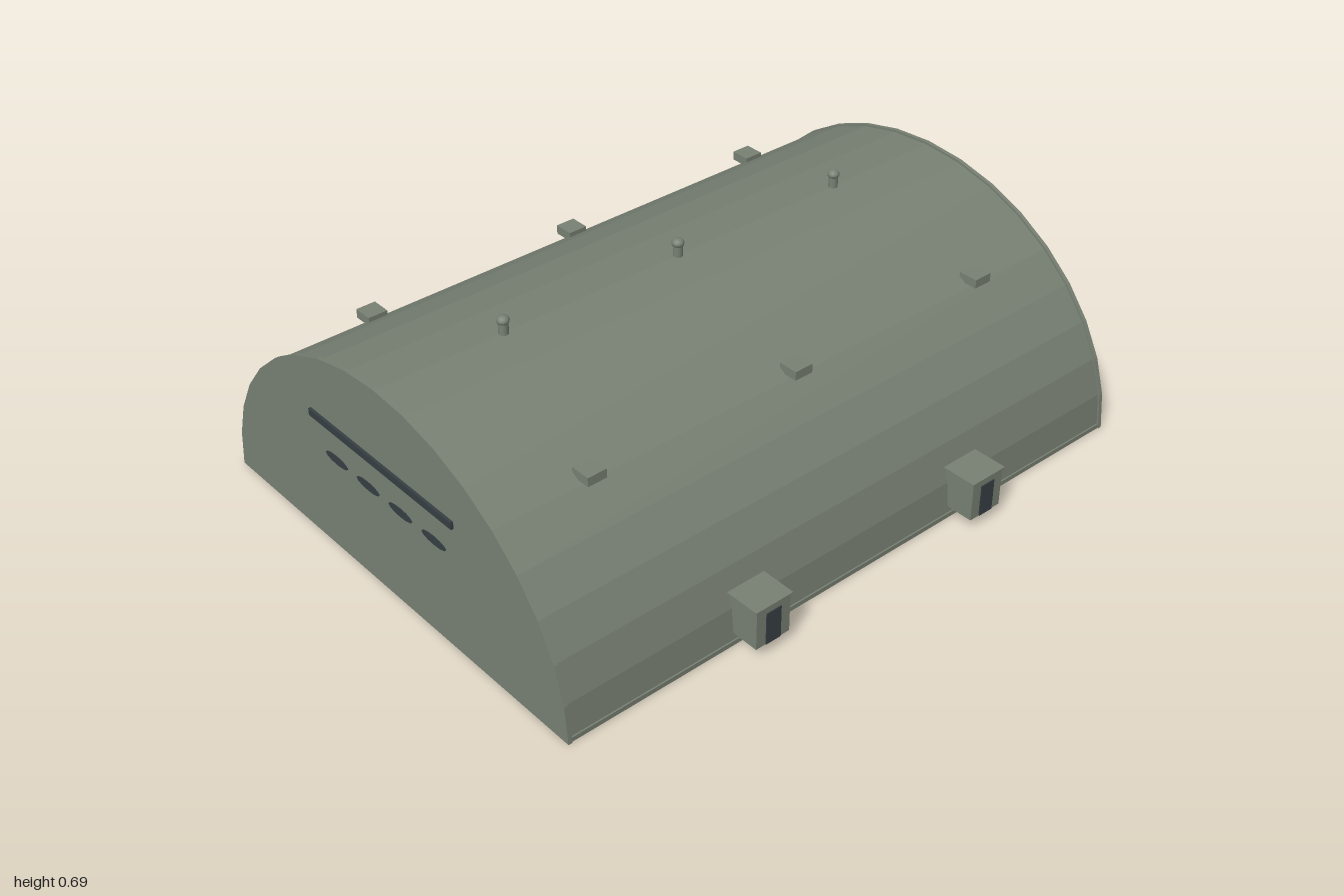
import * as THREE from 'three';

export function createModel() {
  const model = new THREE.Group();
  model.name = 'archedShelter';

  const plaster = new THREE.MeshStandardMaterial({ color: 0x788073 });
  plaster.name = 'greyGreen';
  const dark = new THREE.MeshStandardMaterial({ color: 0x363f43 });
  dark.name = 'darkSlate';

  const add = (name, geometry, material, x, y, z, parent = model) => {
    const mesh = new THREE.Mesh(geometry, material);
    mesh.name = name;
    mesh.position.set(x, y, z);
    parent.add(mesh);
    return mesh;
  };
  const box = (w, h, d) => new THREE.BoxGeometry(w, h, d);

  // Half-ellipse arch in 18 flat facets, extruded along z and centred
  const arch = (a, b, depth) => {
    const points = [];
    for (let i = 0; i <= 18; i++) {
      const t = (i / 18) * Math.PI;
      points.push(new THREE.Vector2(a * Math.cos(t), b * Math.sin(t)));
    }
    const geo = new THREE.ExtrudeGeometry(new THREE.Shape(points), { depth, bevelEnabled: false });
    return geo.translate(0, 0, -depth / 2);
  };

  add('vaultedHull', arch(0.739, 0.638, 1.974), plaster, 0, 0, 0);
  add('baseSlab', box(1.484, 0.014, 1.984), plaster, 0, 0.007, 0);

  // End walls with a long lintel and four elongated slots
  const slotGeo = new THREE.CylinderGeometry(1, 1, 0.006, 12).rotateX(Math.PI / 2).scale(0.052, 0.014, 1);
  for (const s of [1, -1]) {
    const end = new THREE.Group();
    end.name = s > 0 ? 'frontEnd' : 'backEnd';
    model.add(end);
    add('endWall', arch(0.745, 0.645, 0.012), plaster, 0, 0, s * 0.986, end);
    add('lintel', box(0.634, 0.022, 0.016), dark, 0, 0.412, s * 0.992, end);
    for (let i = 0; i < 4; i++) {
      add('wallSlot', slotGeo, dark, -0.21 + i * 0.145, 0.31, s * 0.991, end);
    }
  }

  // Small side porches: body, overhanging roof and dark doorway
  for (const s of [1, -1]) {
    for (const z of [0.395, -0.398]) {
      const porch = new THREE.Group();
      porch.name = s > 0 ? 'leftPorch' : 'rightPorch';
      porch.position.set(s * 0.77, 0, z);
      model.add(porch);
      add('porchBody', box(0.1, 0.122, 0.114), plaster, 0, 0.096, 0, porch);
      add('porchRoof', box(0.108, 0.006, 0.126), plaster, 0, 0.157, 0, porch);
      add('doorway', box(0.005, 0.1, 0.05), dark, s * 0.0505, 0.086, 0, porch);
    }
    // Shoulder vents set into the curved roof
    for (const z of [-0.69, 0, 0.69]) {
      add('shoulderVent', box(0.06, 0.027, 0.06), plaster, s * 0.47, 0.51, z);
    }
  }

  // Ridge vent pipes with rounded caps
  for (const z of [-0.59, 0, 0.59]) {
    const vent = new THREE.Group();
    vent.name = 'ridgeVent';
    vent.position.z = z;
    model.add(vent);
    add('ventPipe', new THREE.CylinderGeometry(0.014, 0.014, 0.05, 12), plaster, 0, 0.65, 0, vent);
    add('ventCap', new THREE.SphereGeometry(0.018, 12, 8).scale(1, 0.78, 1), plaster, 0, 0.677, 0, vent);
  }

  return model;
}
